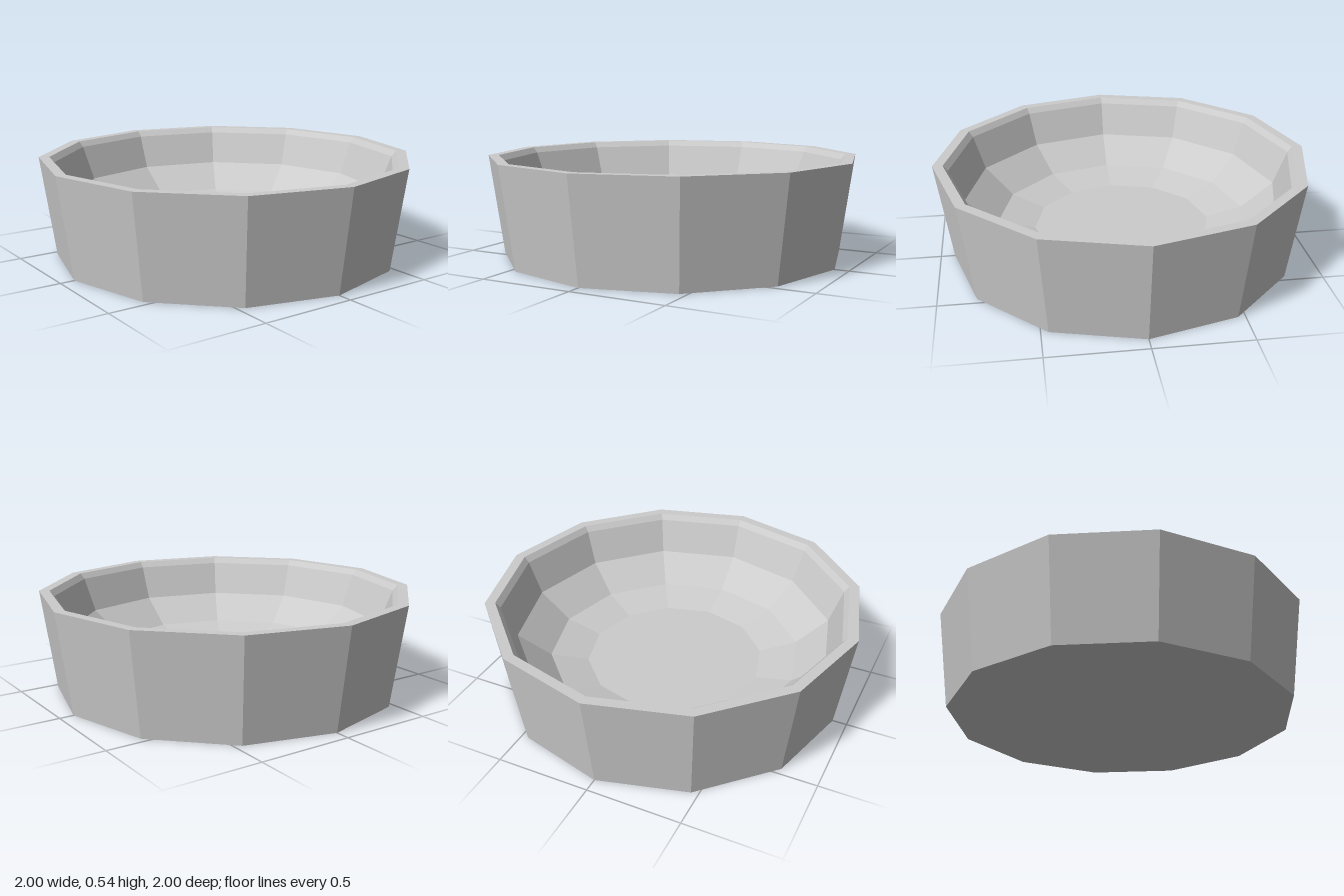
import * as THREE from 'three';

const SIDES = 12;

export function createModel() {
  const group = new THREE.Group();
  group.name = 'bowl';
  const material = new THREE.MeshStandardMaterial({ color: 0xcccccc, flatShading: true });

  // Each part is a twelve-sided turning of [radius, height] points
  const turn = (name, points) => {
    const profile = points.map(([r, y]) => new THREE.Vector2(r, y));
    const mesh = new THREE.Mesh(new THREE.LatheGeometry(profile, SIDES), material);
    mesh.name = name;
    group.add(mesh);
  };

  // Flat underside and flared outer wall
  turn('outerWall', [[0, 0], [0.925, 0], [1, 0.54]]);
  // Flat lip around the opening
  turn('rim', [[1, 0.54], [0.945, 0.54]]);
  // Bevelled edge, then the hollow stepping down to a flat floor
  turn('hollow', [[0.945, 0.54], [0.92, 0.51], [0.85, 0.328], [0.68, 0.19], [0.48, 0.143], [0, 0.143]]);

  return group;
}
